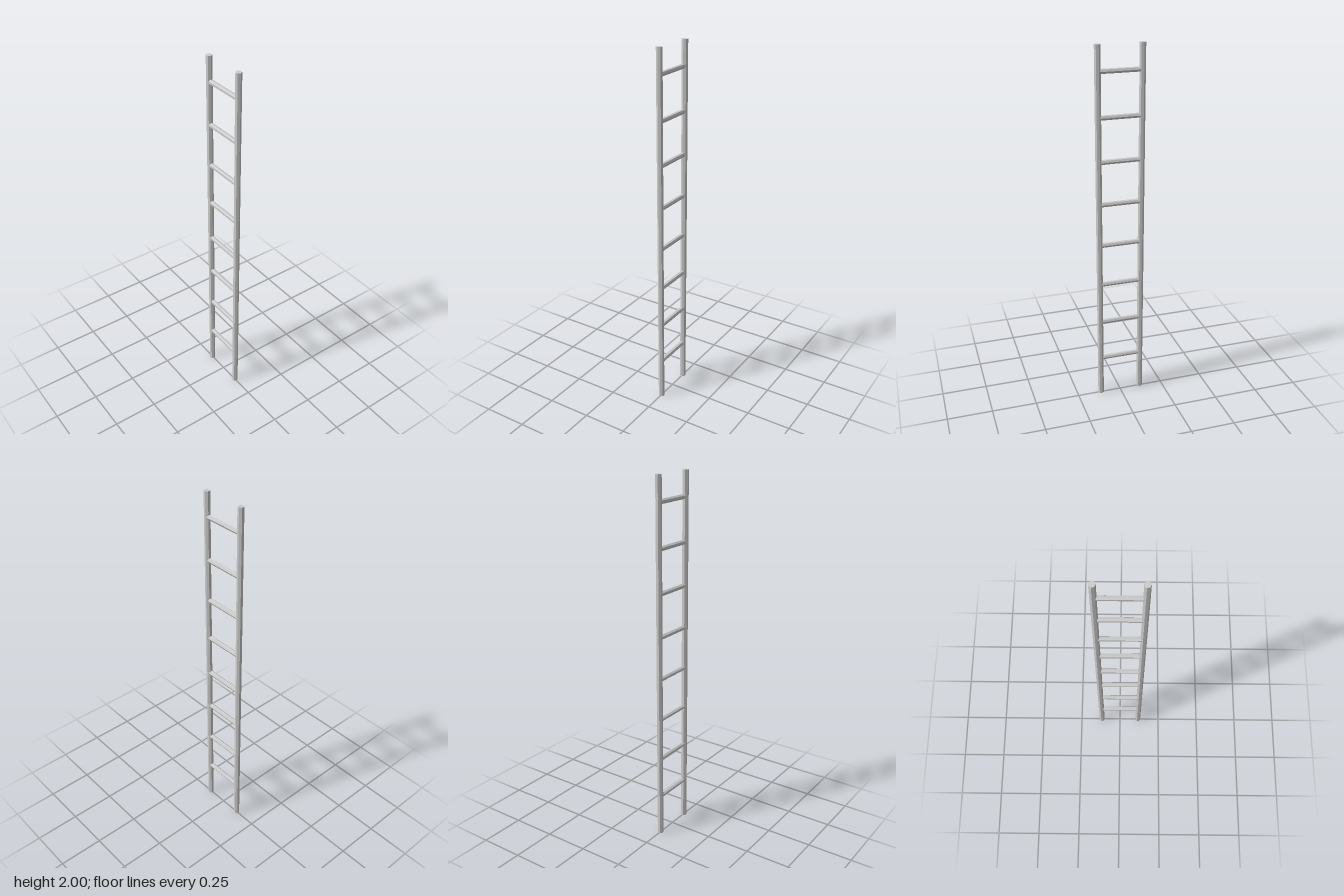
import * as THREE from 'three';

export function createModel() {
  const group = new THREE.Group();
  group.name = 'ladder';
  const material = new THREE.MeshStandardMaterial({ color: 0xcccccc, flatShading: true });

  const sides = 7, height = 2, spacing = 0.2333;
  const railRadius = 0.0167, rungRadius = 0.0133;
  // a seven-sided rail is not symmetric in x, so shift it to centre the ladder
  const shift = -railRadius * (1 - Math.cos(Math.PI / sides)) / 2;

  const bar = (name, radius, length, cornerAngle) => {
    const geometry = new THREE.CylinderGeometry(radius, radius, length, sides, 1, false, cornerAngle);
    const mesh = new THREE.Mesh(geometry, material);
    mesh.name = name;
    group.add(mesh);
    return mesh;
  };

  // upright rails, one corner pointing to +x
  for (const side of [-1, 1]) {
    const rail = bar(side > 0 ? 'leftRail' : 'rightRail', railRadius, height, Math.PI / 2);
    rail.position.set(shift + side * spacing / 2, height / 2, 0);
  }

  // rungs between the rail centres, one corner pointing to -z
  for (let i = 1; i <= 8; i++) {
    const rung = bar(`rung${i}`, rungRadius, spacing, Math.PI);
    rung.rotation.z = Math.PI / 2;
    rung.position.set(shift, i * spacing, 0);
  }

  return group;
}
